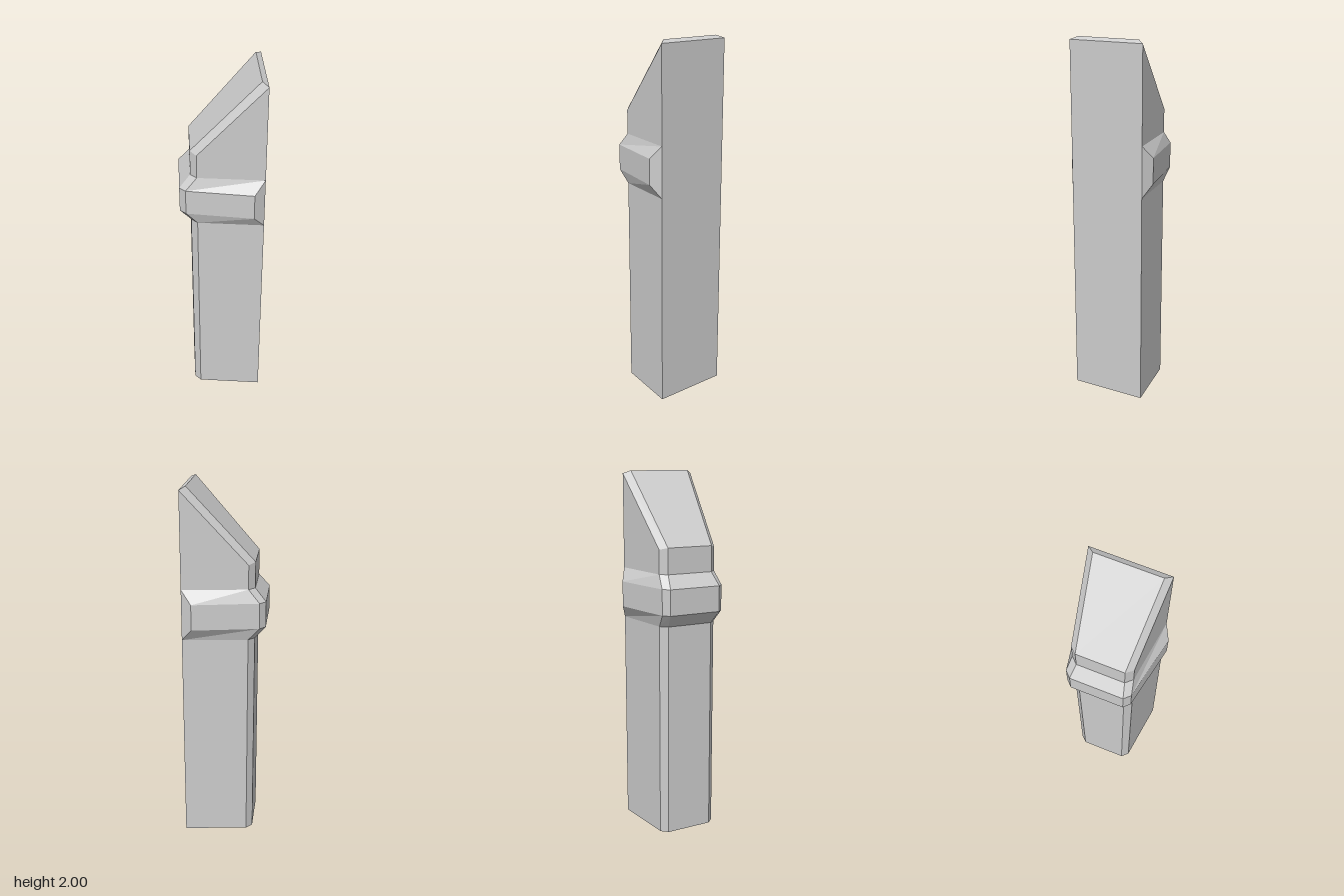
import * as THREE from 'three';

const material = new THREE.MeshStandardMaterial({
  color: 0xcccccc, flatShading: true, side: THREE.DoubleSide,
});

// Half outlines [x, z] on the +z side, from the flat side (+x) to the bevelled edge (-x)
const bodyHalf = [[0.22, 0.21], [-0.13, 0.167], [-0.163, 0.131]];
const collarHalf = [[0.163, 0.247], [-0.19, 0.18], [-0.222, 0.147]];
const mirrorZ = (half) => [...half, ...[...half].reverse().map(([x, z]) => [x, -z])];
const bodyPath = mirrorZ(bodyHalf);
const collarPath = mirrorZ(collarHalf);

// Places an outline at a height, or at one height per corner
const level = (path, y) => path.map(([x, z], i) => new THREE.Vector3(x, Array.isArray(y) ? y[i] : y, z));

// Quads between successive cross-sections
function loft(levels) {
  const quads = [];
  for (let k = 0; k < levels.length - 1; k++) {
    const lo = levels[k], hi = levels[k + 1];
    for (let i = 0; i < lo.length - 1; i++) quads.push([lo[i + 1], lo[i], hi[i], hi[i + 1]]);
  }
  return quads;
}

function quadMesh(name, quads) {
  const points = quads.flatMap(([a, b, c, d]) => [a, b, c, a, c, d]);
  const geometry = new THREE.BufferGeometry().setFromPoints(points);
  geometry.computeVertexNormals();
  const mesh = new THREE.Mesh(geometry, material);
  mesh.name = name;
  return mesh;
}

export function createModel() {
  const group = new THREE.Group();
  group.name = 'bevelledPost';

  const edgeY = [1.985, 1.6, 1.61, 1.61, 1.6, 1.985];
  const base = level(bodyPath, 0);
  const collarBottom = level(bodyPath, 1.19);
  const collarTop = level(bodyPath, 1.47);
  const rim = level(bodyPath, edgeY);

  // Post below and above the collar, open at the base
  group.add(quadMesh('shaft', loft([base, collarBottom])));
  group.add(quadMesh('upperShaft', loft([collarTop, rim])));

  // Flat side
  group.add(quadMesh('flatSide', [[base[0], base[5], rim[5], rim[0]]]));

  // Collar with sloped shoulders and tapered ends
  const outerLow = level(collarPath, 1.26);
  const outerHigh = level(collarPath, 1.4);
  group.add(quadMesh('collar', [
    ...loft([collarBottom, outerLow, outerHigh, collarTop]),
    [outerLow[0], collarBottom[0], collarTop[0], outerHigh[0]],
    [collarBottom[5], outerLow[5], outerHigh[5], collarTop[5]],
  ]));

  // Slanted top with bevelled borders
  const peakFront = new THREE.Vector3(0.19, 2, 0.175);
  const peakBack = new THREE.Vector3(0.19, 2, -0.175);
  group.add(quadMesh('slantedTop', [[peakFront, peakBack, rim[3], rim[2]]]));
  group.add(quadMesh('topBevels', [
    [rim[1], rim[0], peakFront, rim[2]],
    [rim[3], peakBack, rim[5], rim[4]],
    [rim[0], rim[5], peakBack, peakFront],
  ]));

  return group;
}
